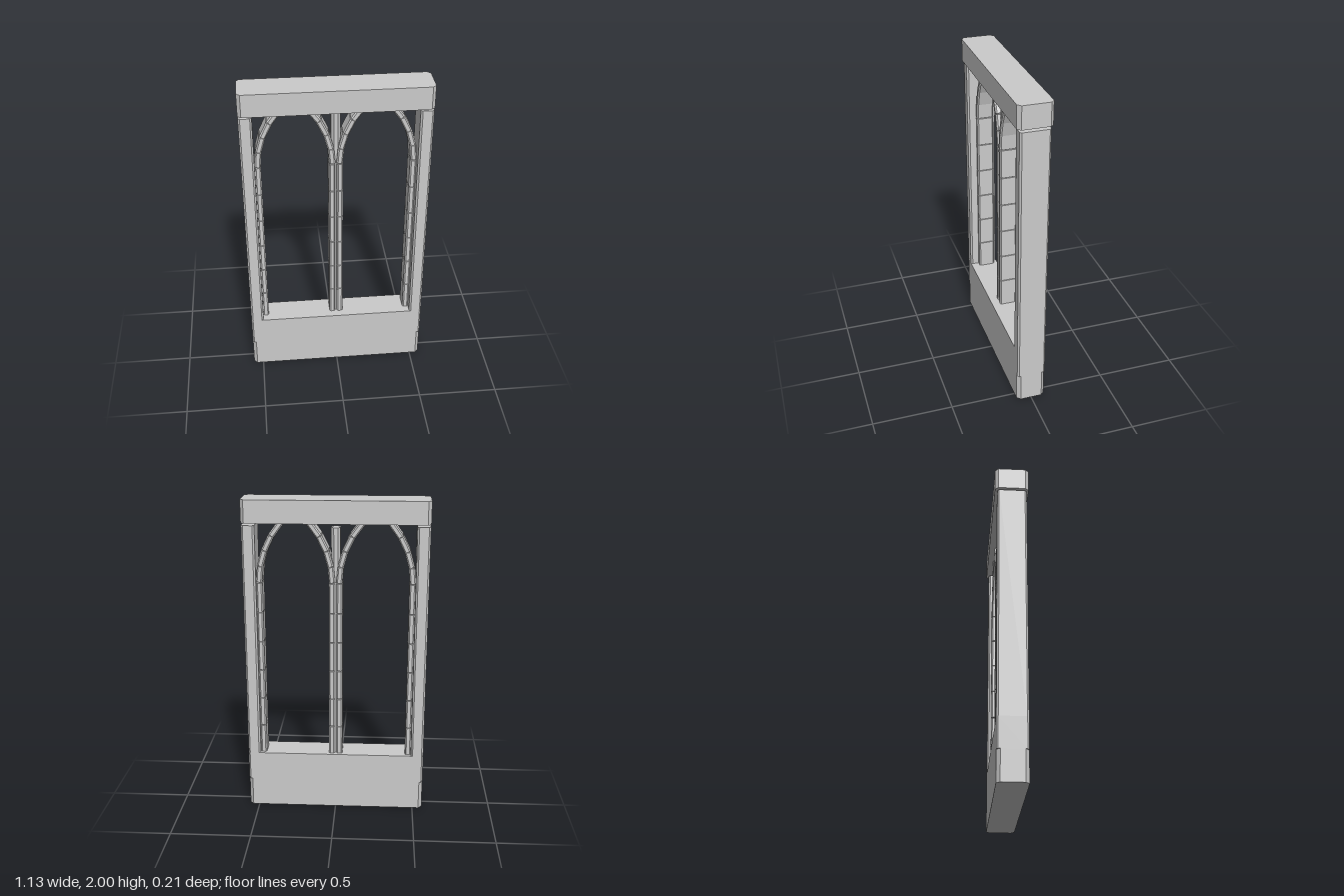
import * as THREE from 'three';

const material = new THREE.MeshStandardMaterial({ color: 0xcccccc, flatShading: true });

// Upright prism with chamfered vertical edges, standing on y = 0
function prism(name, width, depth, height, chamfer) {
  const w = width / 2, d = depth / 2, c = chamfer;
  const shape = new THREE.Shape([
    [w, -d + c], [w, d - c], [w - c, d], [-w + c, d],
    [-w, d - c], [-w, -d + c], [-w + c, -d], [w - c, -d],
  ].map(([x, y]) => new THREE.Vector2(x, y)));
  const geometry = new THREE.ExtrudeGeometry(shape, { depth: height, bevelEnabled: false });
  geometry.rotateX(-Math.PI / 2);
  const mesh = new THREE.Mesh(geometry, material);
  mesh.name = name;
  return mesh;
}

const LENGTH = 1.124, DEPTH = 0.18;
const SILL = 0.37, SPRING = 1.495;
const STONE_W = 0.037, STONE_D = 0.106, STONE_Z = -0.015, CHAMFER = 0.008;
const BAY_X = 0.2435, HALF_OPENING = 0.2015;
const RADIUS = 0.532;

// One side of a pointed opening: stacked jamb stones, then curved voussoirs
function archSide() {
  const side = new THREE.Group();
  const courses = 6, step = (SPRING - SILL) / courses;
  for (let i = 0; i < courses; i++) {
    const stone = prism('jambStone', STONE_W, STONE_D, step - 0.005, CHAMFER);
    stone.position.set(HALF_OPENING + STONE_W / 2, SILL + i * step, STONE_Z);
    side.add(stone);
  }

  const centreX = HALF_OPENING - RADIUS;
  const apex = Math.acos(-centreX / RADIUS);
  const count = 5, turn = apex / count;
  const mid = RADIUS + STONE_W / 2;
  const length = 2 * mid * Math.sin(turn / 2) - 0.003;
  for (let i = 0; i < count; i++) {
    const a = (i + 0.5) * turn;
    const stone = prism('archStone', STONE_W, STONE_D, length, CHAMFER);
    stone.geometry.translate(0, -length / 2, 0);
    stone.position.set(centreX + mid * Math.cos(a), SPRING + mid * Math.sin(a), STONE_Z);
    stone.rotation.z = a;
    side.add(stone);
  }
  return side;
}

export function createModel() {
  const model = new THREE.Group();
  model.name = 'archedWindow';

  // Solid base, with deeper corner chamfers in its lower half
  const plinth = prism('plinth', LENGTH, DEPTH, 0.185, 0.022);
  const sill = prism('sill', LENGTH, DEPTH, SILL - 0.185, 0.01);
  sill.position.y = 0.185;
  model.add(plinth, sill);

  // Lintel
  const lintel = prism('lintel', 1.126, 0.208, 0.14, 0.021);
  lintel.position.y = 1.86;
  model.add(lintel);

  // Outer posts
  for (const s of [-1, 1]) {
    const post = prism(s > 0 ? 'leftPost' : 'rightPost', 0.079, DEPTH, 1.845 - SILL, 0.011);
    post.position.set(s * 0.5225, SILL, 0);
    model.add(post);
  }

  // Central mullion between the two openings
  const mullion = prism('mullion', 0.056, 0.07, 1.83 - SILL, 0.016);
  mullion.position.set(0, SILL, STONE_Z);
  model.add(mullion);

  // Two pointed arches, each made of two facing sides
  for (const s of [-1, 1]) {
    const arch = new THREE.Group();
    arch.name = s > 0 ? 'leftArch' : 'rightArch';
    arch.position.x = s * BAY_X;
    for (const half of [0, 1]) {
      const side = archSide();
      side.name = half ? 'archSideRight' : 'archSideLeft';
      // Turn the second side about the vertical, keeping the depth offset
      if (half) {
        side.rotation.y = Math.PI;
        side.position.z = 2 * STONE_Z;
      }
      arch.add(side);
    }
    model.add(arch);
  }
  return model;
}
